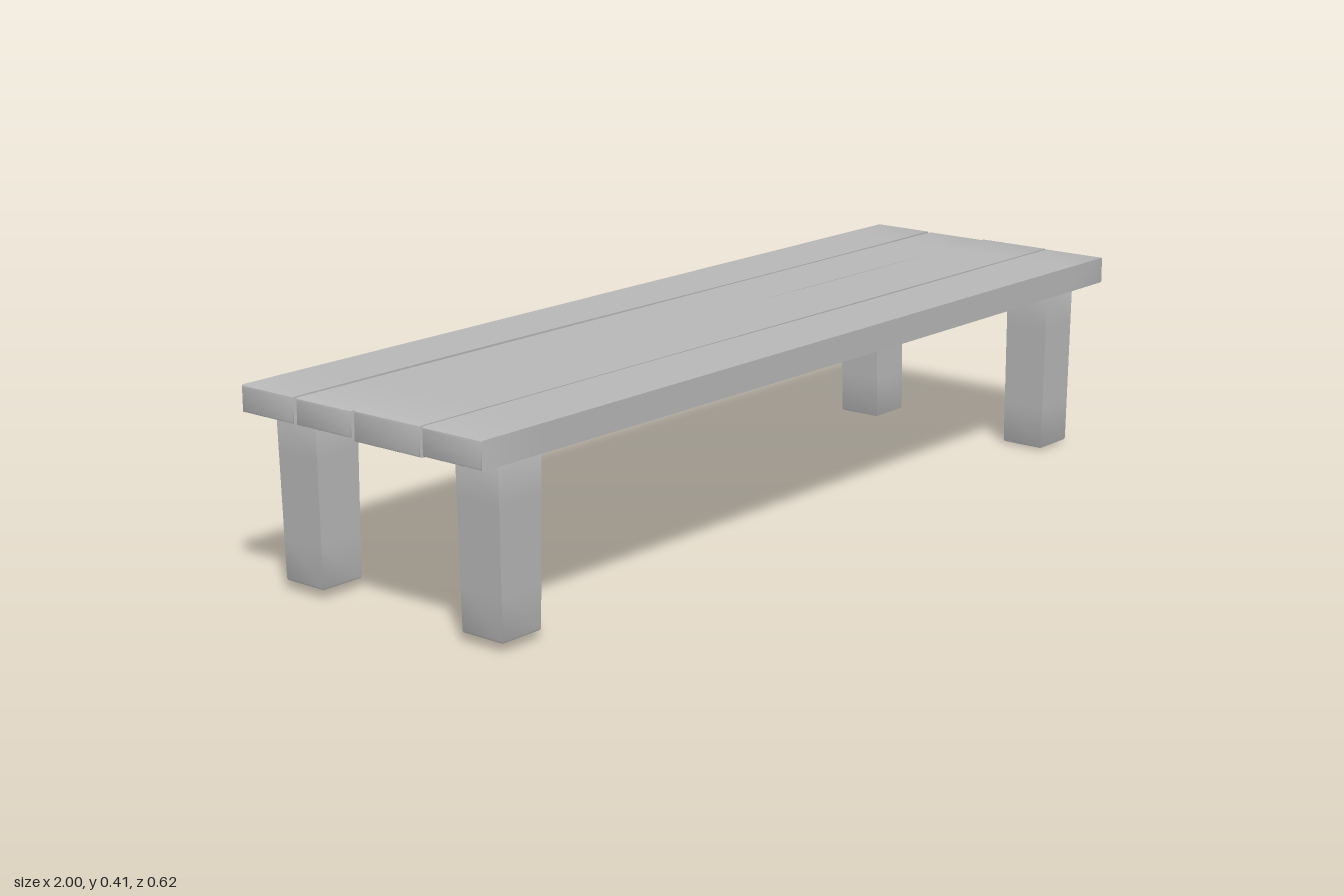
import * as THREE from 'three';
import { toCreasedNormals } from 'three/addons/utils/BufferGeometryUtils.js';

const wood = new THREE.MeshStandardMaterial({ color: 0xb8b8b8 });
wood.name = 'plain grey wood';

// Bevelled beam along z, centred, with cross-section w by h
function beam(w, h, length, bevel, steps) {
  const a = w / 2 - bevel, b = h / 2 - bevel;
  const shape = new THREE.Shape();
  shape.moveTo(-a, -b);
  shape.lineTo(a, -b);
  shape.lineTo(a, b);
  shape.lineTo(-a, b);
  shape.closePath();
  const geo = new THREE.ExtrudeGeometry(shape, {
    depth: length - 2 * bevel, steps, bevelEnabled: true,
    bevelSize: bevel, bevelThickness: bevel, bevelSegments: 2,
  });
  return geo.translate(0, 0, bevel - length / 2);
}

// Move every vertex by a rule, then smooth the gentle bends only
function shapeBy(geo, rule) {
  const p = geo.attributes.position, v = new THREE.Vector3();
  for (let i = 0; i < p.count; i++) {
    rule(v.fromBufferAttribute(p, i));
    p.setXYZ(i, v.x, v.y, v.z);
  }
  return toCreasedNormals(geo, 0.6);
}

function addMesh(group, name, geo) {
  const mesh = new THREE.Mesh(geo, wood);
  mesh.name = name;
  group.add(mesh);
}

export function createModel() {
  const model = new THREE.Group();
  model.name = 'bench';

  // Seat boards: z limits, y limits, sideways wobble and sag
  const planks = [
    { name: 'frontPlank', z: [0.161, 0.308], y: [0.356, 0.411], sway: 0.002, sag: 0.002 },
    { name: 'frontMiddlePlank', z: [-0.011, 0.158], y: [0.353, 0.412], sway: 0.002, sag: 0.004 },
    { name: 'backMiddlePlank', z: [-0.161, -0.015], y: [0.358, 0.41], sway: -0.002, sag: 0.001 },
    { name: 'backPlank', z: [-0.308, -0.167], y: [0.358, 0.411], sway: 0.003, sag: 0.002 },
  ];
  for (const { name, z, y, sway, sag } of planks) {
    const geo = beam(z[1] - z[0], y[1] - y[0], 2, 0.005, 14).rotateY(Math.PI / 2);
    geo.translate(0, (y[0] + y[1]) / 2, (z[0] + z[1]) / 2);
    const mid = (z[0] + z[1]) / 2;
    addMesh(model, name, shapeBy(geo, (v) => {
      // only the edges facing inwards wander
      if ((v.z - mid) * mid < 0) v.z += sway * Math.sin(v.x * 3.4);
      if (v.y < 0.38) v.y -= sag * Math.cos((v.x - 0.15) * 1.4);
    }));
  }

  // Legs: x and z limits at the bottom, and at the top
  const legs = [
    { name: 'frontLeftLeg', foot: 0.003, bottom: [0.806, 0.905, 0.184, 0.283], top: [0.806, 0.908, 0.184, 0.287] },
    { name: 'backLeftLeg', foot: 0, bottom: [0.806, 0.905, -0.27, -0.17], top: [0.806, 0.908, -0.278, -0.176] },
    { name: 'frontRightLeg', foot: 0.017, bottom: [-0.931, -0.831, 0.183, 0.282], top: [-0.942, -0.831, 0.185, 0.29] },
    { name: 'backRightLeg', foot: 0.018, bottom: [-0.929, -0.831, -0.282, -0.182], top: [-0.938, -0.831, -0.284, -0.178] },
  ];
  const ceiling = 0.365;
  for (const { name, foot, bottom, top } of legs) {
    const geo = beam(0.1, 0.1, ceiling - foot, 0.005, 4).rotateX(-Math.PI / 2);
    geo.translate(0, (ceiling + foot) / 2, 0);
    addMesh(model, name, shapeBy(geo, (v) => {
      const t = (v.y - foot) / (ceiling - foot);
      const side = bottom.map((b, i) => THREE.MathUtils.lerp(b, top[i], t));
      v.x = THREE.MathUtils.lerp(side[0], side[1], v.x / 0.1 + 0.5);
      v.z = THREE.MathUtils.lerp(side[2], side[3], v.z / 0.1 + 0.5);
    }));
  }
  return model;
}
